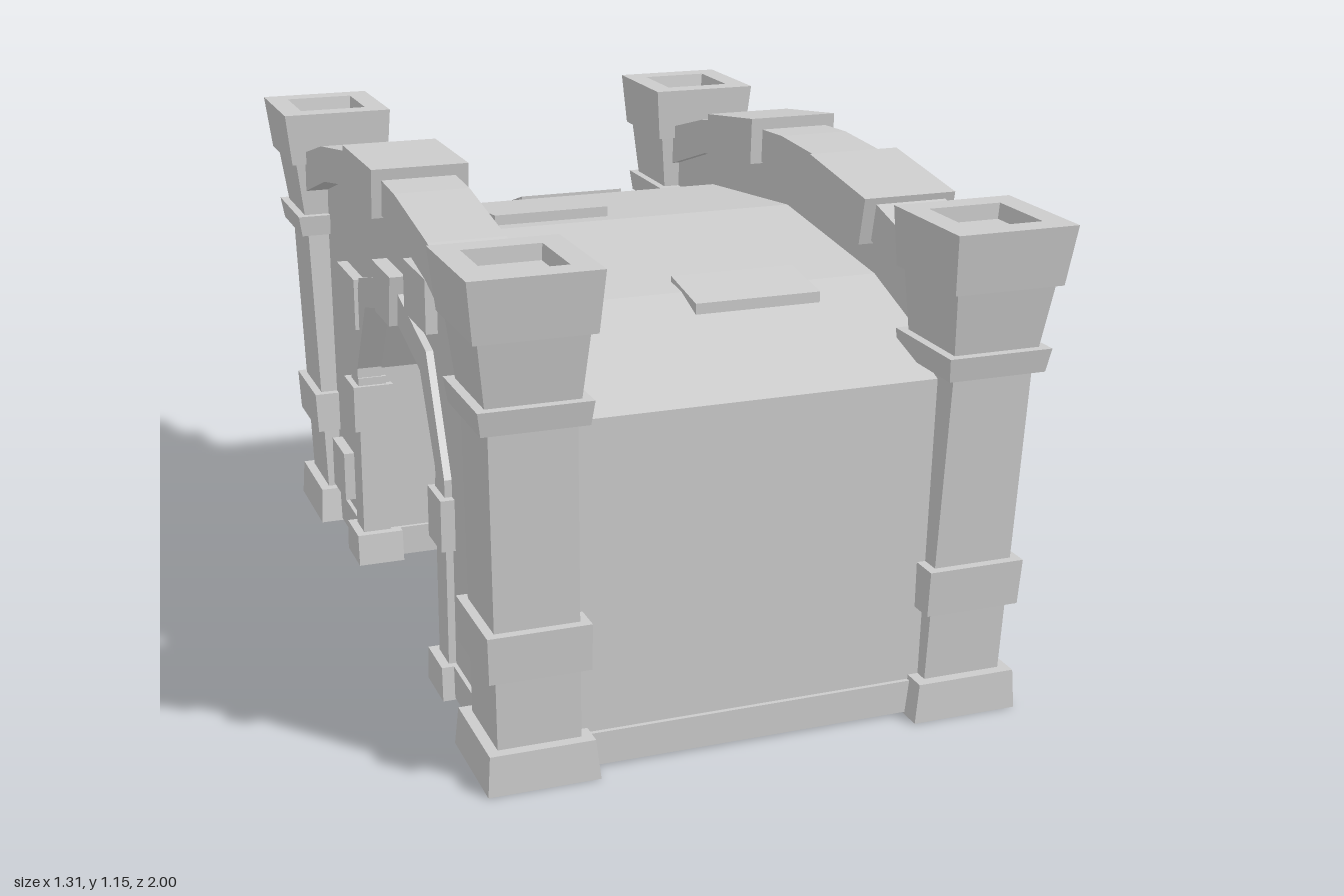
import * as THREE from 'three';

const mat = new THREE.MeshStandardMaterial({ color: 0xcccccc, flatShading: true });

function add(parent, name, geo) {
  const m = new THREE.Mesh(geo, mat);
  m.name = name;
  parent.add(m);
  return m;
}

// Prism: outline of [z, y] points, pushed from x0 to x1
function prism(pts, x0, x1) {
  const shape = new THREE.Shape(pts.map(([z, y]) => new THREE.Vector2(z, y)));
  return new THREE.ExtrudeGeometry(shape, { depth: x1 - x0, bevelEnabled: false })
    .rotateY(-Math.PI / 2).translate(x1, 0, 0);
}

// Box given by its limits
function box(x0, x1, y0, y1, z0, z1) {
  return new THREE.BoxGeometry(x1 - x0, y1 - y0, z1 - z0)
    .translate((x0 + x1) / 2, (y0 + y1) / 2, (z0 + z1) / 2);
}

// Mirrors a half outline (z > 0, ending near z = 0) to the full line
const mirror = (half) => [...half, ...half.filter(p => p[0] > 0).reverse().map(([z, y]) => [-z, y])];

// Square turned piece from [half width, y], leaning outward with height
function towerPart(profile, sx, sz) {
  const g = new THREE.LatheGeometry(
    profile.map(([h, y]) => new THREE.Vector2(h * Math.SQRT2, y)), 4, Math.PI / 4);
  const p = g.attributes.position;
  for (let i = 0; i < p.count; i++) {
    const y = p.getY(i);
    p.setX(i, p.getX(i) + sx * (0.488 + 0.024 * y));
    p.setZ(i, p.getZ(i) * 1.04 + sz * (0.803 + 0.047 * y));
  }
  return g;
}
const solid = (h0, y0, h1, y1) => [[0, y0], [h0, y0], [h1, y1], [0, y1]];

export function createModel() {
  const root = new THREE.Group();
  root.name = 'archBridge';

  const deck = mirror([[0.87, 0.775], [0.485, 0.905], [0, 0.957]]);
  const opening = mirror([[0.385, 0], [0.385, 0.52], [0.27, 0.72], [0, 0.79]]);
  const copeTop = mirror([[0.8, 0.995], [0.74, 1.015], [0.52, 1.075], [0.24, 1.118], [0, 1.13]]);
  const copeBottom = mirror([[0.8, 0.89], [0.74, 0.912], [0.5, 0.988], [0.235, 1.035], [0, 1.047]]);
  const wallX = 0.545;

  // Body with the arched passage
  add(root, 'body', prism([...deck, [-0.87, 0], ...opening.slice().reverse(), [0.87, 0]], -wallX, wallX));

  // Low plinth around each foot
  for (const s of [1, -1]) {
    const z = [s * 0.375, s * 0.88].sort((a, b) => a - b);
    add(root, 'plinth', box(-wallX - 0.01, wallX + 0.01, 0.005, 0.08, z[0], z[1]));
  }

  // Loose slabs on the roadway: x range, z and y at both ends
  for (const [x0, x1, z0, y0, z1, y1] of [
    [-0.02, 0.275, 0.42, 0.9, 0.57, 0.876],
    [-0.285, 0, -0.2, 0.935, -0.06, 0.95],
    [-0.03, 0.255, -0.8, 0.8, -0.67, 0.843],
  ]) {
    add(root, 'deckSlab', prism([[z0, y0 - 0.02], [z1, y1 - 0.02], [z1, y1 + 0.025], [z0, y0 + 0.025]], x0, x1));
  }

  for (const s of [1, -1]) {
    const side = new THREE.Group();
    side.name = s > 0 ? 'leftSide' : 'rightSide';
    root.add(side);
    const range = (a, b) => s > 0 ? [a, b] : [-b, -a];

    // Parapet wall and its coping
    add(side, 'parapetWall', prism([...copeBottom, [-0.8, 0.6], [-0.5, 0.85], [0.5, 0.85], [0.8, 0.6]], ...range(0.45, wallX)));
    add(side, 'coping', prism([...copeTop, ...copeBottom.slice().reverse()], ...range(0.43, 0.602)));

    // Raised coping stones: z and y at top and bottom corners
    const stones = s > 0
      ? [[[0.525, 1.09], [0.23, 1.133], [0.25, 1.025], [0.5, 0.98]],
        [[-0.115, 1.153], [-0.405, 1.113], [-0.39, 0.995], [-0.12, 1.038]]]
      : [[[0.13, 1.15], [-0.16, 1.15], [-0.145, 1.035], [0.115, 1.035]]];
    for (const st of stones) add(side, 'copingStone', prism(st, ...range(0.4, 0.625)));

    // Arch trim
    const outer = mirror([[0.455, 0.47], [0.455, 0.52], [0.325, 0.778], [0, 0.865]]);
    const inner = mirror([[0.38, 0.47], [0.38, 0.525], [0.267, 0.718], [0, 0.787]]);
    add(side, 'archTrim', prism([...outer, ...inner.reverse()], ...range(0.5, 0.562)));
    add(side, 'keystone', prism([[0.088, 0.887], [-0.088, 0.887], [-0.067, 0.765], [0.067, 0.765]], ...range(0.47, 0.582)));

    // Pilasters beside the opening
    for (const t of [1, -1]) {
      const zr = (a, b) => t > 0 ? [a, b] : [-b, -a];
      add(side, 'pilasterShaft', box(...range(0.49, 0.562), 0, 0.5, ...zr(0.375, 0.455)));
      add(side, 'pilasterCapital', box(...range(0.475, 0.577), 0.36, 0.48, ...zr(0.365, 0.475)));
      add(side, 'pilasterBase', prism(
        [[t * 0.345, 0], [t * 0.477, 0], [t * 0.472, 0.08], [t * 0.353, 0.08]], ...range(0.465, 0.583)));
    }

    // Stones standing proud of the wall: z range, y range
    const wallStones = s > 0
      ? [[0.25, 0.44, 0.84, 0.968], [0.555, 0.73, 0.375, 0.51], [-0.665, -0.485, 0.57, 0.688], [-0.73, -0.57, 0.415, 0.548]]
      : [[0.18, 0.37, 0.83, 0.955], [-0.53, -0.34, 0.64, 0.77], [-0.68, -0.54, 0.11, 0.24]];
    for (const [z0, z1, y0, y1] of wallStones) {
      add(side, 'wallStone', box(...range(0.52, 0.572), y0, y1, z0, z1));
    }

    // Corner towers
    for (const t of [1, -1]) {
      const tower = new THREE.Group();
      tower.name = 'cornerTower';
      side.add(tower);
      const part = (name, prof) => add(tower, name, towerPart(prof, s, t));
      part('towerBase', solid(0.123, 0, 0.115, 0.09));
      part('towerShaft', solid(0.091, 0.05, 0.093, 0.82));
      part('lowerBand', solid(0.11, 0.253, 0.112, 0.358));
      part('upperBand', solid(0.113, 0.795, 0.12, 0.848));
      part('towerNeck', solid(0.098, 0.83, 0.116, 1));
      part('towerCap', [[0, 0.988], [0.127, 0.988], [0.139, 1.12], [0.085, 1.12], [0.082, 1.085], [0, 1.085]]);
    }
  }
  return root;
}
